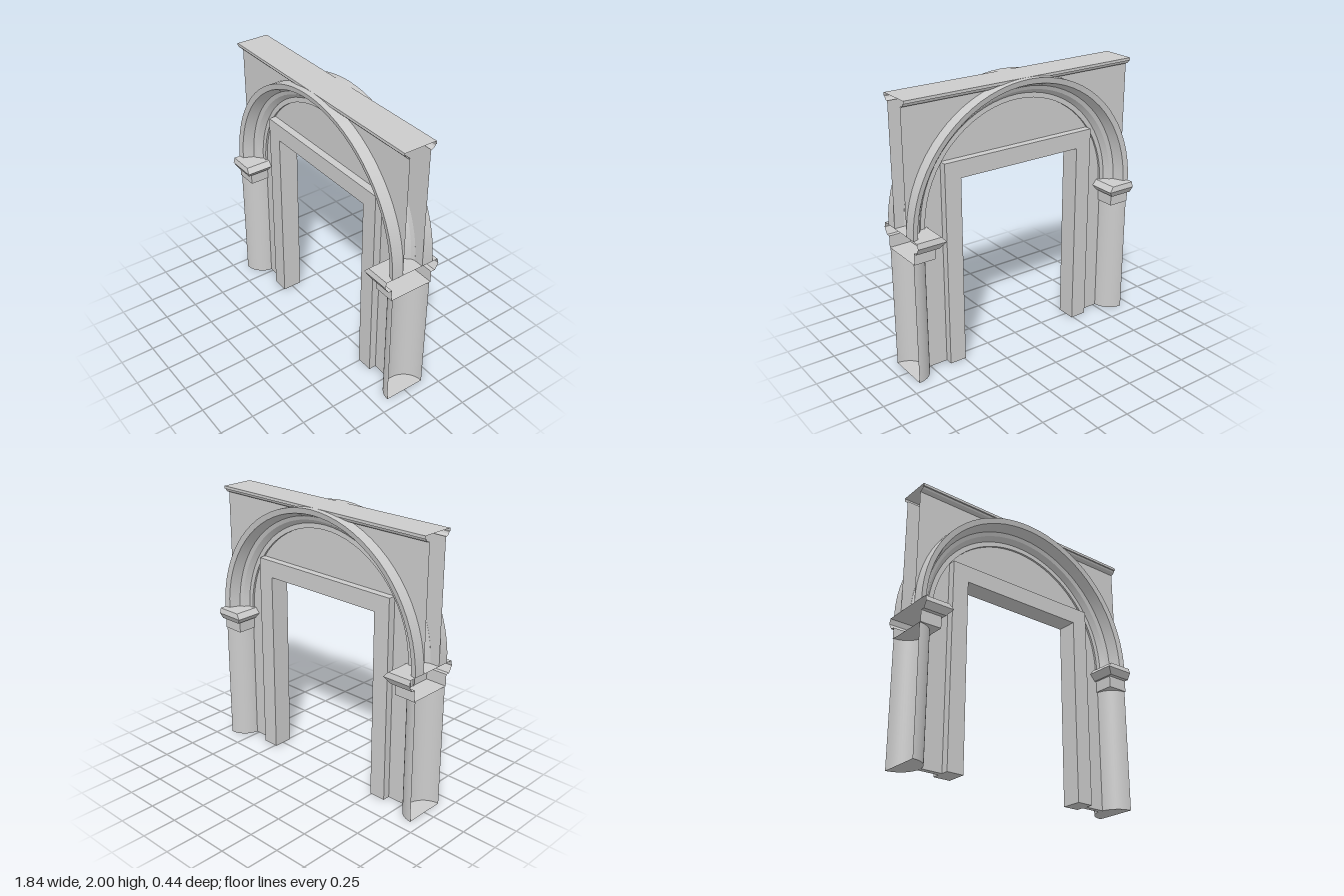
import * as THREE from 'three';
import { toCreasedNormals } from 'three/addons/utils/BufferGeometryUtils.js';

const W = 0.92, SPRING = 1.08;
const WALL_Z = 0.08, PANEL_Z = 0.02, FRAME_Z = 0.075;
const material = new THREE.MeshStandardMaterial({ color: 0xcccccc, side: THREE.DoubleSide });

function addMesh(group, name, geometry) {
  const mesh = new THREE.Mesh(geometry, material);
  mesh.name = name;
  group.add(mesh);
  return mesh;
}

// Skin between rows of points, rows going up and points going left to right
function loft(rows) {
  const pos = [];
  const tri = (...p) => {
    const [a, b, c] = p.map((q) => new THREE.Vector3(...q));
    if (b.clone().sub(a).cross(c.clone().sub(a)).length() < 1e-8) return;
    for (const q of p) pos.push(...q);
  };
  for (let i = 0; i < rows.length - 1; i++) {
    for (let j = 0; j < rows[i].length - 1; j++) {
      const a = rows[i][j], b = rows[i][j + 1], c = rows[i + 1][j + 1], d = rows[i + 1][j];
      tri(a, b, c);
      tri(a, c, d);
    }
  }
  const geo = new THREE.BufferGeometry();
  geo.setAttribute('position', new THREE.Float32BufferAttribute(pos, 3));
  return toCreasedNormals(geo, 0.35);
}

// Row of [x, z] points at height y, mirrored for the other side
function level(path, y, side) {
  const row = path.map(([x, z]) => [x * side, y, z]);
  return side < 0 ? row.reverse() : row;
}

// Flat sheet facing +z
function sheet(shape, z) {
  return new THREE.ShapeGeometry(shape, 32).translate(0, 0, z);
}

function polygon(points) {
  return new THREE.Shape(points.map(([x, y]) => new THREE.Vector2(x, y)));
}

function createFace() {
  const face = new THREE.Group();

  // Upper wall around the arch
  const wall = polygon([[-W, SPRING], [-0.85, SPRING]]);
  wall.absarc(0, SPRING, 0.85, Math.PI, 0, true);
  wall.lineTo(W, SPRING);
  wall.lineTo(W, 1.955);
  wall.lineTo(-W, 1.955);
  addMesh(face, 'upperWall', sheet(wall, WALL_Z));

  // Cornice and half of the top
  const cornice = [[1.95, WALL_Z], [1.955, 0.095], [1.965, 0.108], [1.978, 0.114], [1.98, 0.122], [2, 0.122], [2, 0]];
  addMesh(face, 'cornice', loft(cornice.map(([y, z]) => [[-W, y, z], [W, y, z]])));

  // Stepped archivolt: profile of radius and depth, inner to outer
  const archProfile = [
    [0.755, PANEL_Z], [0.755, 0.035], [0.79, 0.035], [0.82, 0.07],
    [0.848, 0.082], [0.88, 0.157], [W, 0.166], [W, WALL_Z],
  ];
  const steps = 36;
  addMesh(face, 'archMoulding', loft(archProfile.map(([r, z]) =>
    Array.from({ length: steps + 1 }, (_, i) => {
      const a = Math.PI * (1 - i / steps);
      return [r * Math.cos(a), SPRING + r * Math.sin(a), z];
    }))));

  // Recessed panel between doorway and arch
  const panel = polygon([[-0.6, 0], [-0.6, 1.5], [0.6, 1.5], [0.6, 0], [0.77, 0], [0.77, SPRING], [0.757, SPRING]]);
  panel.absarc(0, SPRING, 0.757, 0, Math.PI, false);
  panel.lineTo(-0.77, SPRING);
  panel.lineTo(-0.77, 0);
  addMesh(face, 'recessedPanel', sheet(panel, PANEL_Z));

  // Door frame: reveal, front band and outer return
  const doorPath = (x, y, z) => [[-x, 0, z], [-x, y, z], [x, y, z], [x, 0, z]];
  addMesh(face, 'doorFrame', loft([
    doorPath(0.49, 1.39, 0), doorPath(0.49, 1.39, FRAME_Z),
    doorPath(0.615, 1.515, FRAME_Z), doorPath(0.615, 1.515, PANEL_Z),
  ]));

  for (const side of [1, -1]) {
    const label = side > 0 ? 'left' : 'right';

    // Undersides of jamb and panel
    for (const [name, x0, x1, z] of [['JambBase', 0.49, 0.615, FRAME_Z], ['PanelBase', 0.615, 0.77, PANEL_Z]]) {
      const edge = (d) => level([[x0, d], [x1, d]], 0, side);
      addMesh(face, label + name, loft([edge(0), edge(z)]));
    }

    // Quarter-round column with closed foot
    const round = Array.from({ length: 15 }, (_, i) => {
      const a = (i / 14) * Math.PI / 2;
      return [W - 0.15 * Math.cos(a), 0.155 * Math.sin(a)];
    });
    const foot = round.map(() => [W, 0]);
    addMesh(face, label + 'Column', loft([level(foot, 0, side), level(round, 0, side), level(round, 0.91, side)]));

    // Neck block and bevelled capital: height, inner x, depth
    const corner = (x, z) => [[x, 0], [x, z], [W, z]];
    const stack = [
      [0.91, W, 0], [0.91, 0.76, 0.165], [0.995, 0.76, 0.165], [0.995, 0.745, 0.195],
      [1.042, 0.702, 0.222], [SPRING, 0.735, 0.212], [SPRING, W, 0],
    ];
    addMesh(face, label + 'Capital', loft(stack.map(([y, x, z]) => level(corner(x, z), y, side))));
  }
  return face;
}

export function createModel() {
  const model = new THREE.Group();
  model.name = 'archedDoorway';
  // Front and back are alike; the ends between them stay open
  const front = createFace();
  front.name = 'frontFace';
  const back = createFace();
  back.name = 'backFace';
  back.rotation.y = Math.PI;
  model.add(front, back);
  return model;
}
